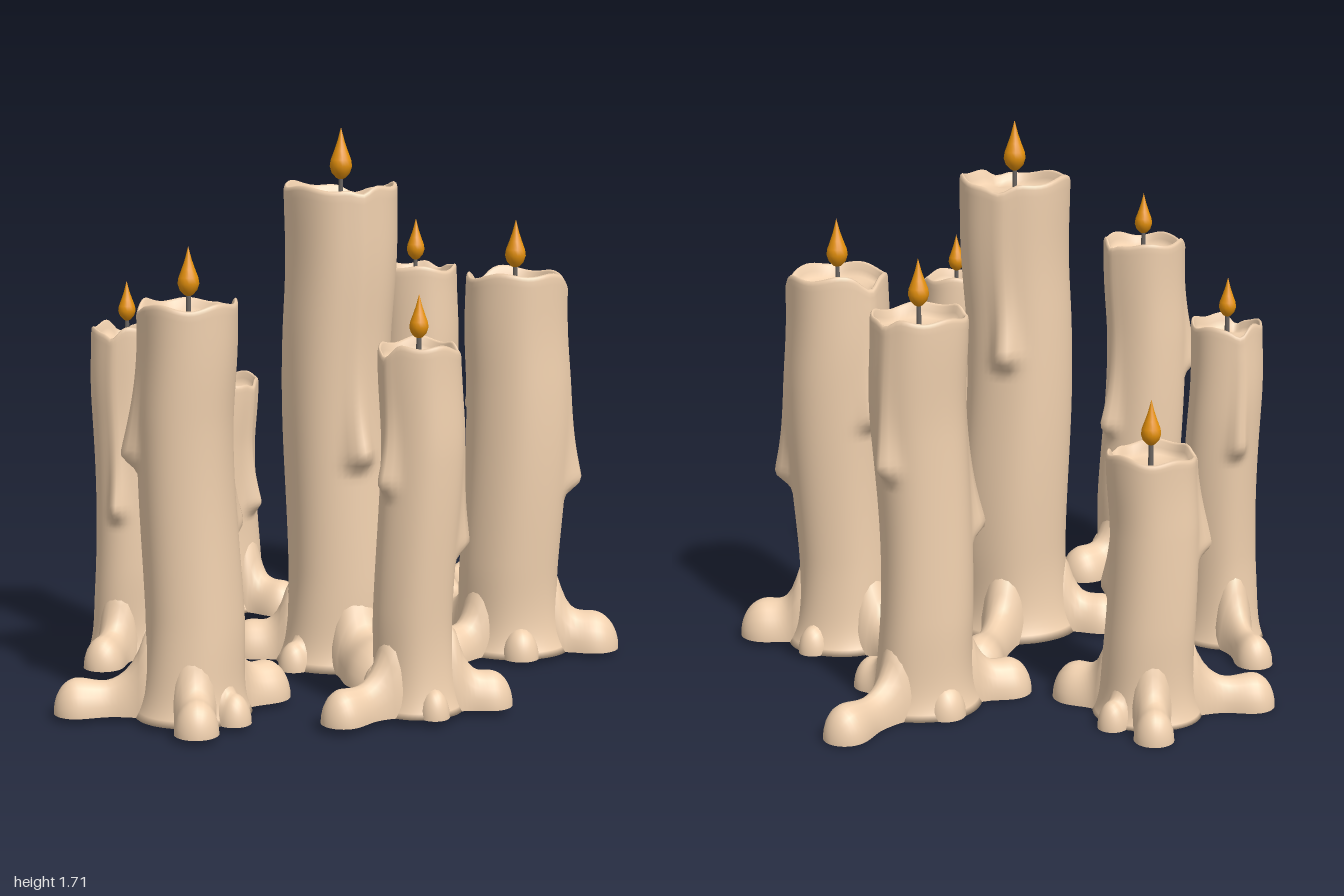
import * as THREE from 'three';

const wax = new THREE.MeshStandardMaterial({ color: 0xf0d0ae, side: THREE.DoubleSide });
const flameMat = new THREE.MeshStandardMaterial({ color: 0xe8930c });
const wickMat = new THREE.MeshStandardMaterial({ color: 0x6a6460 });

// x, z, radius, rim height, feet as [tip x, tip z, tip radius]; drips run above the first two feet
const CANDLES = [
  { x: 0.05, z: 0.16, r: 0.175, h: 1.52, feet: [[0.36, -0.17, 0.08], [0.015, 0.47, 0.11], [-0.18, -0.01, 0.08], [0.25, 0.21, 0.05], [-0.15, 0.22, 0.05]] },
  { x: 0.04, z: -0.68, r: 0.135, h: 0.82, feet: [[-0.26, -0.8, 0.07], [0.17, -0.48, 0.08], [0.14, -0.88, 0.06], [0.2, -0.74, 0.045], [-0.07, -0.54, 0.05]] },
  { x: -0.03, z: 0.76, r: 0.118, h: 1.08, feet: [[-0.3, 0.8, 0.065], [0.17, 0.85, 0.07], [-0.05, 0.58, 0.05], [0.065, 0.64, 0.035], [-0.04, 0.88, 0.045]] },
  { x: -0.5, z: -0.26, r: 0.117, h: 1.07, feet: [[-0.45, -0.53, 0.06], [-0.66, -0.11, 0.065], [-0.31, -0.21, 0.05], [-0.47, -0.12, 0.045]] },
  { x: -0.63, z: 0.48, r: 0.142, h: 1.21, feet: [[-0.93, 0.33, 0.07], [-0.375, 0.45, 0.08], [-0.71, 0.68, 0.065], [-0.57, 0.64, 0.05], [-0.6, 0.34, 0.05]] },
  { x: 0.61, z: -0.3, r: 0.142, h: 1.22, feet: [[0.93, -0.44, 0.07], [0.35, -0.35, 0.075], [0.6, -0.43, 0.06], [0.7, -0.11, 0.06], [0.54, -0.15, 0.05]] },
  { x: 0.61, z: 0.31, r: 0.162, h: 1.23, feet: [[0.52, 0.0, 0.085], [0.83, 0.46, 0.09], [0.34, 0.36, 0.07], [0.76, 0.23, 0.05], [0.55, 0.46, 0.06]] },
];

const smooth = THREE.MathUtils.smoothstep;
const TAU = Math.PI * 2;

// Closed rings of points joined into a smooth skin
function loft(rows, cols, point) {
  const pos = [], idx = [];
  for (let i = 0; i < rows; i++) for (let j = 0; j < cols; j++) pos.push(...point(i, (j / cols) * TAU));
  for (let i = 0; i < rows - 1; i++) for (let j = 0; j < cols; j++) {
    const a = i * cols + j, b = i * cols + (j + 1) % cols, c = a + cols, d = b + cols;
    idx.push(a, c, b, b, c, d);
  }
  const g = new THREE.BufferGeometry();
  g.setAttribute('position', new THREE.Float32BufferAttribute(pos, 3));
  g.setIndex(idx);
  g.computeVertexNormals();
  return g;
}

const angleGap = (a, b) => Math.abs(Math.atan2(Math.sin(a - b), Math.cos(a - b)));

// Wax column with drips, ragged rim and sunken pool
function columnGeometry(c, phase, sway) {
  const { r, h } = c;
  const angles = c.feet.map(f => Math.atan2(f[1] - c.z, f[0] - c.x));
  const ends = [h * 0.61, h * 0.43];
  const path = [[0, 0]];
  const N = 64;
  for (let i = 0; i <= N; i++) path.push([1, (i / N) * (h - 0.015)]);
  path.push([0.985, h - 0.004], [0.95, h], [0.91, h - 0.006], [0.88, h - 0.025], [0.82, h - 0.043], [0.6, h - 0.05], [0.3, h - 0.052], [0, h - 0.05]);

  return loft(path.length, 56, (i, a) => {
    const [k, y] = path[i];
    let rad = r * (1 + 0.015 * Math.sin(3 * a + phase + y) + 0.012 * Math.sin(5 * a - phase + 2 * y)
      + 0.02 * Math.sin(y * 5 + phase));
    rad += r * 0.22 * Math.exp(-y / 0.06);
    // drips: thin run from the rim, swelling to a drop that ends abruptly
    if (k > 0.9) ends.forEach((end, n) => {
      const t = y - end;
      if (t <= -0.03) return;
      const drop = smooth(t, -0.03, 0.035) * (0.12 + 0.88 * Math.exp(-Math.pow(Math.max(0, t - 0.03) / 0.13, 1.3)));
      const width = 0.16 + 0.06 * Math.exp(-Math.max(0, t) / 0.12);
      rad += r * 0.34 * drop * Math.exp(-Math.pow(angleGap(a, angles[n]) / width, 2));
    });
    // ragged rim with dips
    const rag = 0.006 * Math.sin(2 * a + phase) + 0.007 * Math.sin(5 * a + 2 * phase)
      - 0.03 * Math.exp(-Math.pow(angleGap(a, angles[0]) / 0.25, 2))
      - 0.025 * Math.exp(-Math.pow(angleGap(a, angles[1]) / 0.2, 2));
    const yy = y + rag * smooth(y, h - 0.12, h) * smooth(k, 0.6, 0.9);
    const [sx, sz] = sway(y);
    return [Math.cos(a) * rad * k + sx, yy, Math.sin(a) * rad * k + sz];
  });
}

// Melted runner on the ground: flared root, neck and rounded tip
function footGeometry(dx, dz, R, r) {
  const dist = Math.hypot(dx, dz), ux = dx / dist, uz = dz / dist;
  const s0 = r * 0.5, s1 = dist + R, rows = 26;
  const H = 0.045 + R * 0.85;
  return loft(rows, 20, (i, a) => {
    const s = s0 + (s1 - s0) * Math.sin((i / (rows - 1)) * Math.PI / 2);
    const tip = s > dist ? Math.sqrt(Math.max(0, 1 - ((s - dist) / R) ** 2)) : 1;
    const bulb = smooth(s, dist - 1.6 * R, dist);
    const root = Math.exp(-Math.max(0, s - r * 0.95) / 0.045);
    const w = (R * (0.68 + 0.32 * bulb) + 0.025 * root * (1 - bulb)) * tip;
    const hh = (H * (0.8 + 0.2 * bulb) + 0.16 * root * (1 - bulb)) * tip;
    const side = Math.cos(a) * w, up = Math.max(0, Math.sin(a)) * hh;
    return [ux * s - uz * side, up, uz * s + ux * side];
  });
}

function add(group, name, geometry, material) {
  const m = new THREE.Mesh(geometry, material);
  m.name = name;
  group.add(m);
  return m;
}

function makeCandle(c, n) {
  const g = new THREE.Group();
  const phase = n * 1.7;
  const sway = y => {
    const f = 0.011 * smooth(y, 0, 0.3) * (1 - smooth(y, c.h * 0.7, c.h));
    return [f * Math.sin(5 * y + phase), f * Math.cos(4 * y + phase)];
  };
  add(g, 'waxColumn', columnGeometry(c, phase, sway), wax);
  for (const [fx, fz, R] of c.feet) add(g, 'waxFoot', footGeometry(fx - c.x, fz - c.z, R, c.r), wax);

  // wick and teardrop flame
  const wick = add(g, 'wick', new THREE.CylinderGeometry(0.007, 0.008, 0.1, 8), wickMat);
  wick.position.y = c.h - 0.005;
  const L = 0.6 * c.r + 0.06, W = L * 0.215;
  const profile = [[0, 0], [0.4, 0.04], [0.8, 0.13], [1, 0.26], [0.92, 0.38], [0.62, 0.55], [0.33, 0.73], [0.12, 0.9], [0, 1]]
    .map(([x, y]) => new THREE.Vector2(x * W, y * L));
  const flame = add(g, 'flame', new THREE.LatheGeometry(profile, 16), flameMat);
  flame.position.y = c.h + 0.015;

  g.position.set(c.x, 0.011 + 0.015 * c.z, c.z);
  return g;
}

export function createModel() {
  const model = new THREE.Group();
  model.name = 'candleCluster';
  CANDLES.forEach((c, n) => {
    const candle = makeCandle(c, n);
    candle.name = 'candle' + (n + 1);
    model.add(candle);
  });
  return model;
}
